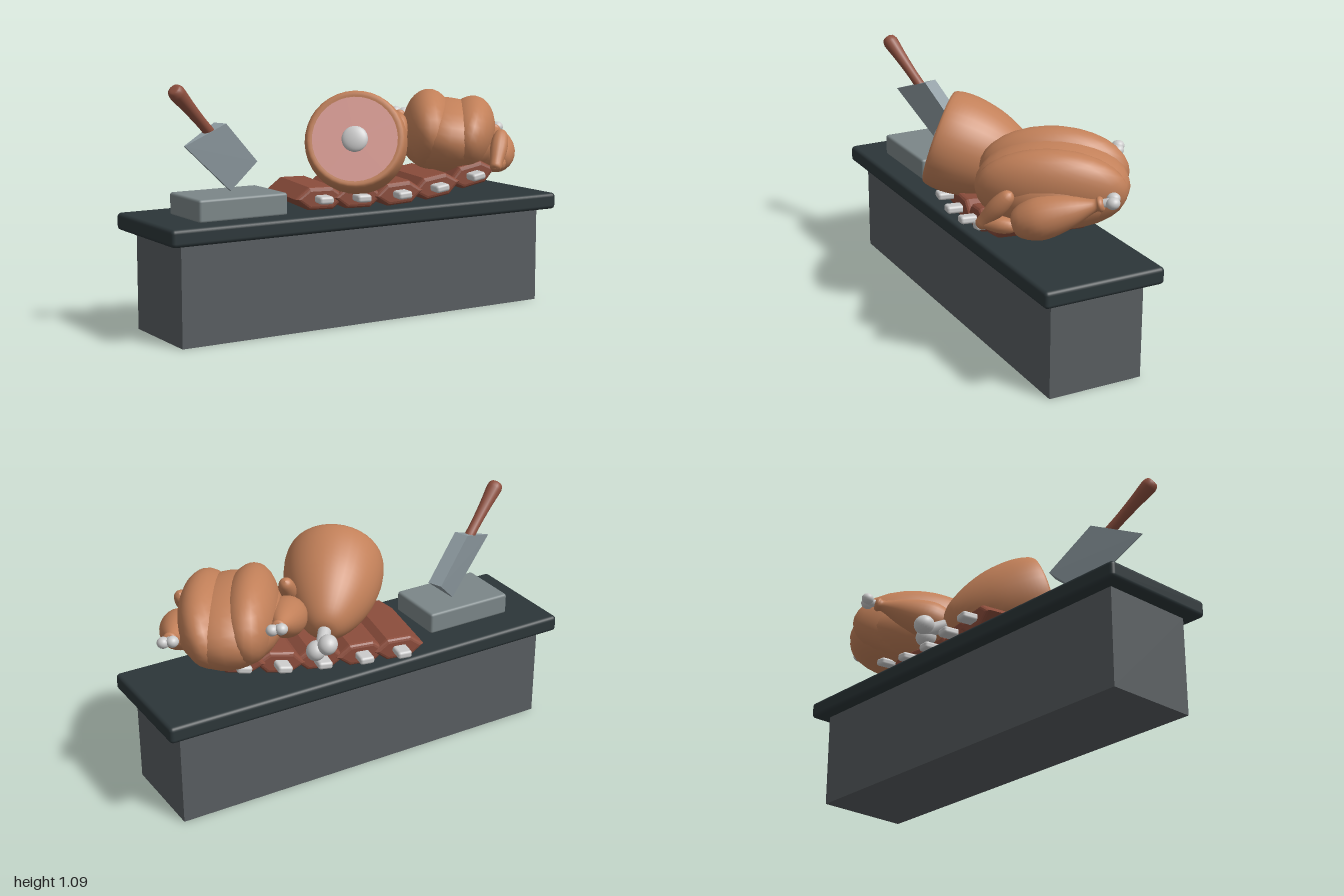
import * as THREE from 'three';
import { RoundedBoxGeometry } from 'three/addons/geometries/RoundedBoxGeometry.js';

const mat = (color, flatShading = false) =>
  new THREE.MeshStandardMaterial({ color, flatShading, side: THREE.DoubleSide });
const M = {
  base: mat(0x585d60), top: mat(0x2c3639), block: mat(0x7b8688), blade: mat(0x8d9aa0, true),
  wood: mat(0x8f5140), skin: mat(0xc28059), pink: mat(0xdb9c94), rib: mat(0x8c4d3c), bone: mat(0xcccccc),
};
const V = (x, y, z) => new THREE.Vector3(x, y, z);
const UP = V(0, 1, 0);

function add(parent, name, geo, material, x = 0, y = 0, z = 0) {
  const m = new THREE.Mesh(geo, material);
  m.name = name;
  m.position.set(x, y, z);
  parent.add(m);
  return m;
}

function group(parent, name, x = 0, y = 0, z = 0) {
  const g = new THREE.Group();
  g.name = name;
  g.position.set(x, y, z);
  parent.add(g);
  return g;
}

// Group whose +y axis runs from a towards b
function axisGroup(parent, name, a, b) {
  const g = group(parent, name, a.x, a.y, a.z);
  g.quaternion.setFromUnitVectors(UP, b.clone().sub(a).normalize());
  return g;
}

function ellipsoid(parent, name, material, pos, rx, ry, rz) {
  const m = add(parent, name, new THREE.SphereGeometry(1, 24, 16), material, ...pos);
  m.scale.set(rx, ry, rz);
  return m;
}

// Smooth lathe through a few radius/height pairs
function lathe(pairs, segments = 24) {
  const curve = new THREE.SplineCurve(pairs.map(([r, y]) => new THREE.Vector2(r, y)));
  const pts = curve.getPoints(pairs.length * 3).map(p => new THREE.Vector2(Math.max(p.x, 0), p.y));
  return new THREE.LatheGeometry(pts, segments);
}

// Shaft with a two-lobed knuckle at its far end
function knuckleBone(parent, from, length, r) {
  add(parent, 'boneShaft', new THREE.CylinderGeometry(r, r, length, 12), M.bone, 0, from + length / 2, 0);
  for (const s of [-1, 1])
    ellipsoid(parent, 'boneKnuckle', M.bone, [s * r * 1.1, from + length, 0], r * 1.5, r * 1.6, r * 1.4);
}

function buildCounter(root) {
  add(root, 'counterBase', new THREE.BoxGeometry(1.865, 0.44, 0.437), M.base, 0, 0.22, -0.007);
  add(root, 'counterTop', new RoundedBoxGeometry(2, 0.076, 0.56, 3, 0.018), M.top, 0, 0.477, -0.007);
  add(root, 'choppingBlock', new RoundedBoxGeometry(0.425, 0.1, 0.29, 2, 0.012), M.block, -0.607, 0.56, 0.015);
}

function buildCleaver(root) {
  const g = group(root, 'cleaver', -0.65, 0, 0.005);
  g.rotation.y = 0.36;
  // Blade: quadrilateral thinned from the spine to the cutting edge
  const outline = [[-0.21, 0.83], [0.075, 0.61], [0.217, 0.727], [0.015, 0.91]];
  const geo = new THREE.ExtrudeGeometry(
    new THREE.Shape(outline.map(p => new THREE.Vector2(...p))), { depth: 1, bevelEnabled: false });
  const p = geo.attributes.position;
  for (let i = 0; i < p.count; i++) {
    const d = (p.getX(i) - 0.015) * -0.675 + (p.getY(i) - 0.91) * -0.74;
    p.setZ(i, (p.getZ(i) - 0.5) * Math.max(0.006, 0.07 * (1 - d / 0.21)));
  }
  geo.computeVertexNormals();
  add(g, 'cleaverBlade', geo, M.blade);
  const h = axisGroup(g, 'cleaverHandle', V(-0.035, 0.86, 0), V(-0.26, 1.065, 0));
  add(h, 'handleGrip', lathe([[0, 0], [0.022, 0.002], [0.024, 0.1], [0.029, 0.2], [0.035, 0.27],
    [0.035, 0.295], [0.025, 0.315], [0, 0.318]], 16), M.wood);
}

function buildRibs(root) {
  const rack = group(root, 'ribRack');
  const hex = new THREE.Shape([[-0.095, 0], [-0.05, -0.033], [0.05, -0.033], [0.095, 0], [0.05, 0.033], [-0.05, 0.033]]
    .map(p => new THREE.Vector2(...p)));
  const meat = new THREE.ExtrudeGeometry(hex, { depth: 0.36, bevelThickness: 0.02, bevelSize: 0.018, bevelSegments: 3 });
  meat.translate(0, 0, -0.18);
  const ribs = [[-0.175, 0.566, -0.06, 0], [-0.005, 0.566, -0.02, 0], [0.18, 0.572, 0.025, 0.08],
    [0.365, 0.592, 0.05, 0.17], [0.55, 0.634, 0.07, 0.22]];
  for (const [x, y, z, roll] of ribs) {
    const g = group(rack, 'rib', x, y, z);
    g.rotation.set(0, -0.18, roll, 'YXZ');
    add(g, 'ribMeat', meat, M.rib);
    add(g, 'ribBone', new RoundedBoxGeometry(0.066, 0.034, 0.54, 2, 0.012), M.bone);
  }
}

function buildHam(root) {
  // Axis runs from the cut face down to the shank bone
  const ham = axisGroup(root, 'ham', V(-0.09, 0.83, 0.215), V(0.25, 0.65, -0.235));
  add(ham, 'hamSkin', lathe([[0.188, 0], [0.214, 0.004], [0.226, 0.06], [0.222, 0.14], [0.2, 0.24],
    [0.157, 0.34], [0.1, 0.425], [0.05, 0.465], [0, 0.47]], 36), M.skin);
  const face = add(ham, 'hamCutFace', new THREE.CircleGeometry(0.192, 36), M.pink, 0, 0.001, 0);
  face.rotation.x = Math.PI / 2;
  ellipsoid(ham, 'hamCutBone', M.bone, [0, 0, 0], 0.058, 0.022, 0.058);
  knuckleBone(ham, 0.44, 0.13, 0.03);
}

function buildBird(root) {
  const bird = group(root, 'roastBird', 0.56, 0.79, 0);
  bird.rotation.set(0, -0.585, -0.15, 'YXZ');
  ellipsoid(bird, 'birdBody', M.skin, [0, -0.005, 0], 0.235, 0.18, 0.325);
  for (const s of [-1, 1]) {
    const breast = ellipsoid(bird, 'birdBreast', M.skin, [s * 0.09, 0.015, 0], 0.125, 0.187, 0.318);
    breast.rotation.z = -s * 0.15;

    // Drumstick with its bare bone end
    const leg = axisGroup(bird, 'birdLeg', V(s * 0.235, -0.075, 0.15), V(s * 0.23, 0.05, -0.26));
    add(leg, 'drumstick', lathe([[0, 0], [0.055, 0.018], [0.087, 0.09], [0.088, 0.16], [0.066, 0.25],
      [0.034, 0.33], [0.026, 0.36], [0.033, 0.375], [0.024, 0.39], [0, 0.39]]), M.skin);
    knuckleBone(leg, 0.37, 0.06, 0.018);

    // Folded wing: upper and lower segments meeting at the elbow
    const elbow = V(s * 0.225, -0.075, 0.27);
    const ends = [['wingUpper', V(s * 0.235, 0.06, 0.16), 0.04], ['wingLower', V(s * 0.25, -0.075, 0.14), 0.036]];
    for (const [name, end, r] of ends) {
      const seg = axisGroup(bird, name, elbow, end);
      const L = elbow.distanceTo(end);
      add(seg, name, lathe([[0, -0.025], [r * 0.6, -0.018], [r * 0.75, 0.02], [r, L * 0.6], [r * 0.7, L], [0, L + 0.02]], 16), M.skin);
    }
  }
}

export function createModel() {
  const root = new THREE.Group();
  root.name = 'butcherCounter';
  buildCounter(root);
  buildCleaver(root);
  buildRibs(root);
  buildHam(root);
  buildBird(root);
  return root;
}
